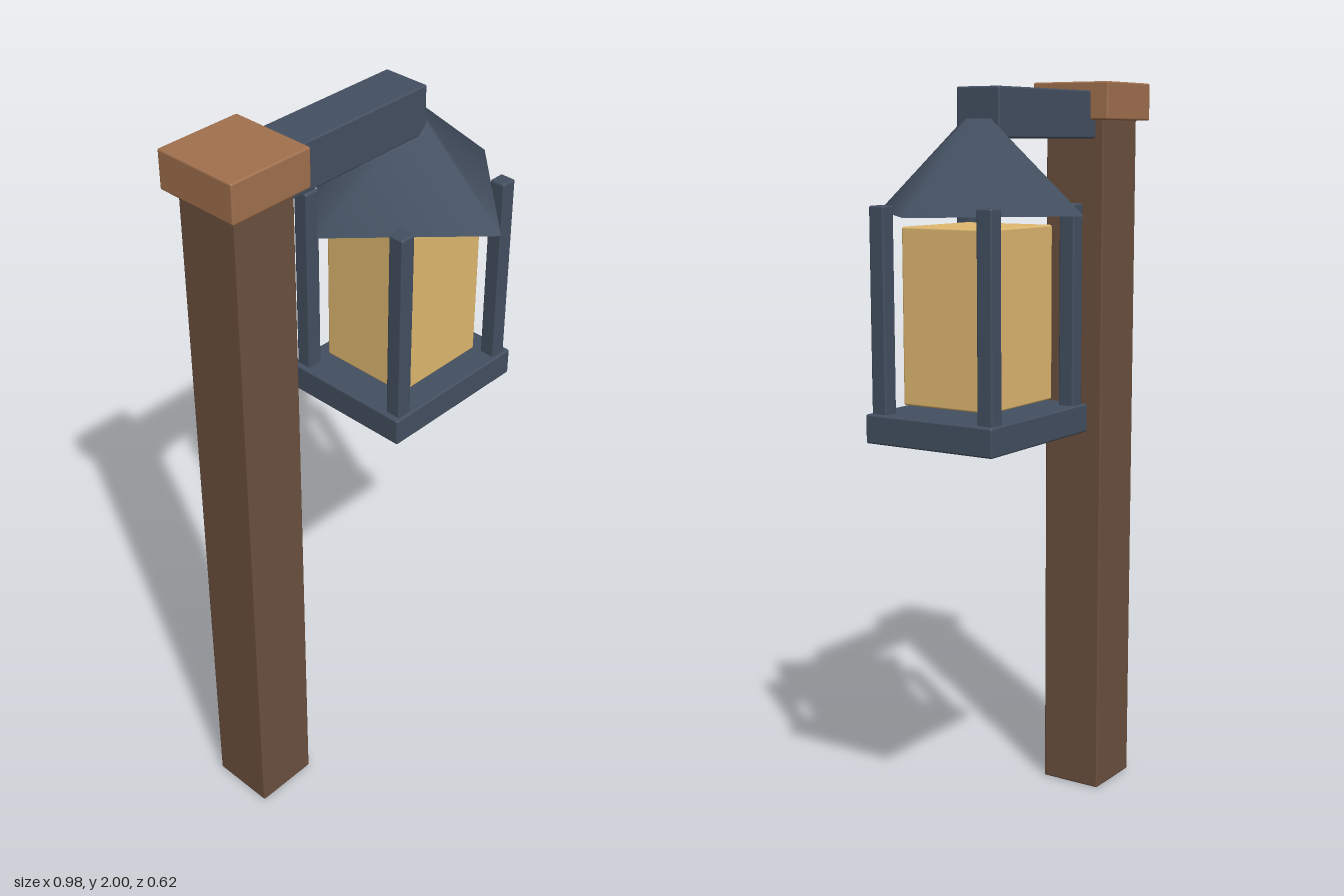
import * as THREE from 'three';
import { RoundedBoxGeometry } from 'three/addons/geometries/RoundedBoxGeometry.js';

const wood = new THREE.MeshStandardMaterial({ color: 0x6b503e });
const capWood = new THREE.MeshStandardMaterial({ color: 0xa0704e });
const iron = new THREE.MeshStandardMaterial({ color: 0x434f60 });
const glass = new THREE.MeshStandardMaterial({ color: 0xe0b870 });

// Box with slightly softened edges, given by its size and centre
function box(name, size, centre, material) {
  const mesh = new THREE.Mesh(new RoundedBoxGeometry(...size, 2, 0.005), material);
  mesh.name = name;
  mesh.position.set(...centre);
  return mesh;
}

export function createModel() {
  const model = new THREE.Group();
  model.name = 'lampPost';

  // Wooden post with its cap and the iron arm
  model.add(
    box('post', [0.18, 1.91, 0.18], [-0.375, 0.955, 0], wood),
    box('postCap', [0.234, 0.1, 0.234], [-0.375, 1.95, 0], capWood),
    box('arm', [0.5, 0.125, 0.128], [-0.07, 1.914, 0], iron)
  );

  // Lantern hanging under the end of the arm
  const lantern = new THREE.Group();
  lantern.name = 'lantern';
  lantern.position.x = 0.181;
  model.add(lantern);

  // Four-sided roof, its corners pointing along x and z
  const roof = new THREE.Mesh(new THREE.CylinderGeometry(0.04, 0.308, 0.23, 4), iron);
  roof.name = 'roof';
  roof.position.y = 1.783;
  lantern.add(roof);

  lantern.add(
    box('glass', [0.285, 0.445, 0.262], [0, 1.415, 0], glass),
    box('base', [0.446, 0.074, 0.38], [0, 1.138, 0], iron)
  );

  // Corner bars
  for (const x of [-1, 1]) {
    for (const z of [-1, 1]) {
      lantern.add(box('cornerBar', [0.044, 0.53, 0.044], [x * 0.186, 1.425, z * 0.159], iron));
    }
  }
  return model;
}
